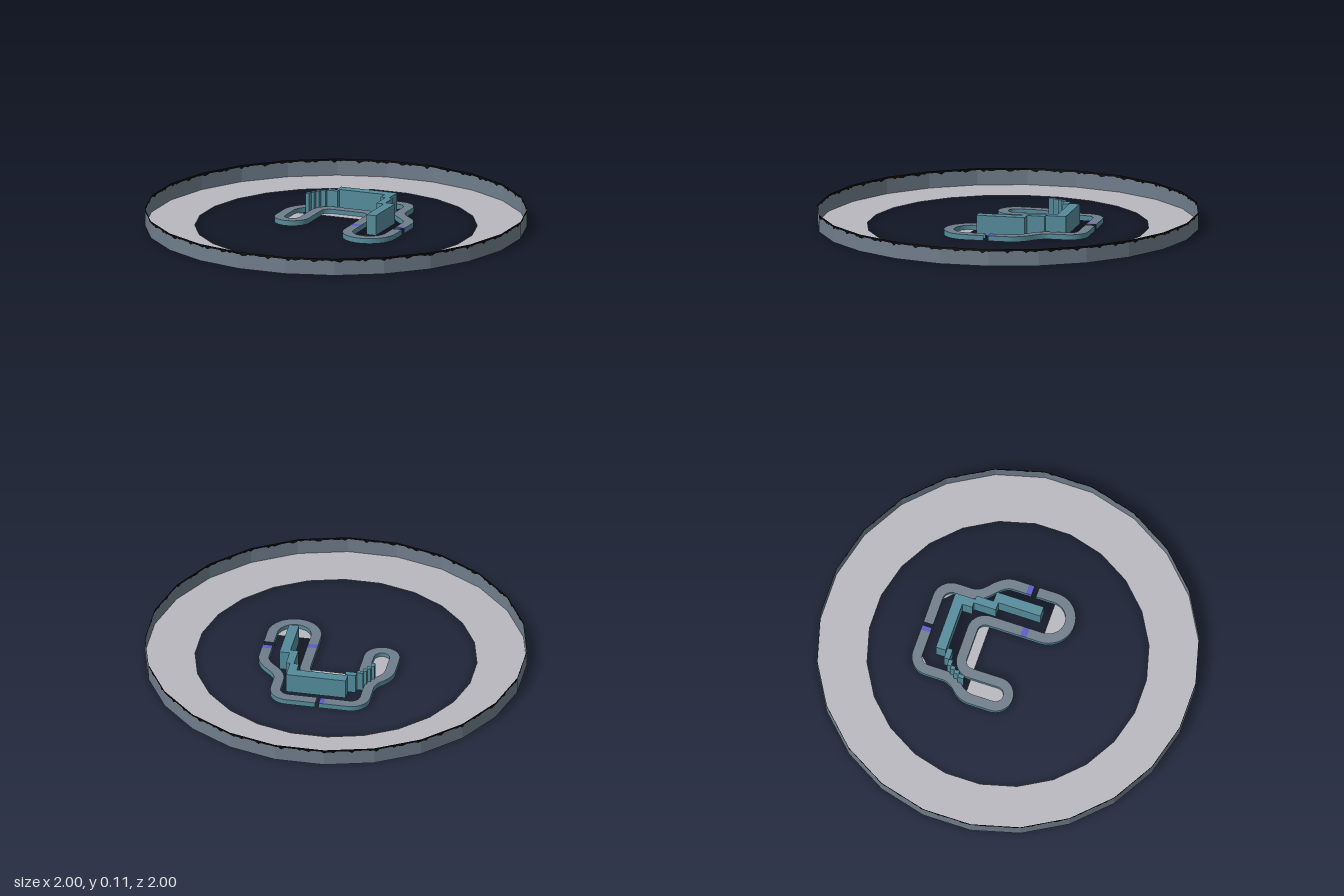
import * as THREE from 'three';

const mat = (name, color) => new THREE.MeshStandardMaterial({ name, color, side: THREE.DoubleSide });
const PI = Math.PI;

export function createModel() {
  const group = new THREE.Group();
  const slate = mat('slate', 0x6f7d8b);
  const paleGrey = mat('pale grey', 0xb9b8bf);
  const teal = mat('teal', 0x548b9b);
  const violet = mat('violet', 0x5a5ac8);
  const black = mat('black', 0x060607);

  const add = (name, geometry, material) => {
    const mesh = new THREE.Mesh(geometry, material);
    mesh.name = name;
    group.add(mesh);
    return mesh;
  };

  // Flat-shaded ribbon joining two rows of points
  const ribbon = (a, b) => {
    const pos = [];
    for (let i = 0; i < a.length - 1; i++) {
      for (const p of [a[i], a[i + 1], b[i], a[i + 1], b[i + 1], b[i]]) pos.push(p.x, p.y, p.z);
    }
    const g = new THREE.BufferGeometry();
    g.setAttribute('position', new THREE.Float32BufferAttribute(pos, 3));
    g.computeVertexNormals();
    return g;
  };

  // Outer rim: 24 flat sides, with a ragged dark edge dripping down from the top
  const SIDES = 24, STEPS = 16, RIM_H = 0.091, R = 1 / Math.cos(PI / SIDES);
  const corner = (i, r) => {
    const t = (i + 0.5) * 2 * PI / SIDES;
    return new THREE.Vector3(Math.sin(t) * r, 0, Math.cos(t) * r);
  };
  const low = [], mid = [], high = [];
  for (let i = 0; i < SIDES; i++) {
    for (let j = 0; j < STEPS; j++) {
      const p = corner(i, R).lerp(corner(i + 1, R), j / STEPS);
      const k = i * STEPS + j;
      const wave = Math.sin(k * 0.82) * 0.5 + Math.sin(k * 2.17 + i) * 0.5;
      const depth = 0.011 + 0.013 * Math.max(0, wave);
      low.push(p);
      mid.push(p.clone().setY(RIM_H - depth));
      high.push(p.clone().setY(RIM_H));
    }
  }
  for (const row of [low, mid, high]) row.push(row[0]);
  add('rimWall', ribbon(low, mid), slate);
  add('raggedEdge', ribbon(mid, high), black);

  // Flat ground ring inside the rim
  const inner = [], outer = [];
  for (let i = 0; i <= SIDES; i++) {
    inner.push(corner(i, 0.745));
    outer.push(corner(i, R));
  }
  add('groundRing', ribbon(outer, inner), paleGrey);

  // Track sections: a raised strip with a skirt down each edge
  const HALF = 0.027, TRACK_H = 0.028;
  const track = (name, path, material) => {
    const pts = path.getPoints(10).filter((p, i, all) => i === 0 || p.distanceTo(all[i - 1]) > 1e-4);
    const edge = (side, y) => pts.map((p, i) => {
      const d = pts[Math.min(i + 1, pts.length - 1)].clone().sub(pts[Math.max(i - 1, 0)]).normalize();
      return new THREE.Vector3(p.x + d.y * HALF * side, y, p.y - d.x * HALF * side);
    });
    add(name, ribbon(edge(1, TRACK_H), edge(-1, TRACK_H)), material);
    for (const side of [1, -1]) {
      add(name + (side > 0 ? 'OuterSkirt' : 'InnerSkirt'), ribbon(edge(side, 0), edge(side, TRACK_H)), teal);
    }
  };
  const start = (x, z) => new THREE.Path().moveTo(x, z);

  track('backRightTrack', start(0.018, -0.45)
    .lineTo(0.176, -0.45)
    .absarc(0.176, -0.375, 0.075, -PI / 2, 0, false)
    .lineTo(0.251, -0.29)
    .quadraticCurveTo(0.251, -0.24, 0.31, -0.19)
    .quadraticCurveTo(0.369, -0.14, 0.369, -0.09)
    .lineTo(0.369, -0.016), slate);
  track('wideLoopTrack', start(0.369, 0.04)
    .lineTo(0.369, 0.14)
    .absarc(0.252, 0.14, 0.117, 0, PI, false)
    .lineTo(0.135, 0.065), slate);
  track('innerTrack', start(0.135, 0.032)
    .lineTo(0.135, -0.15)
    .absarc(0.065, -0.15, 0.07, 0, -PI / 2, true)
    .lineTo(-0.105, -0.22)
    .absarc(-0.105, -0.15, 0.07, -PI / 2, -PI, true)
    .lineTo(-0.175, 0.013)
    .absarc(-0.2435, 0.013, 0.0685, 0, PI, false)
    .lineTo(-0.312, -0.1)
    .quadraticCurveTo(-0.312, -0.15, -0.271, -0.19)
    .quadraticCurveTo(-0.23, -0.23, -0.23, -0.28)
    .lineTo(-0.23, -0.375)
    .absarc(-0.155, -0.375, 0.075, PI, 1.5 * PI, false)
    .lineTo(-0.027, -0.45), slate);

  // Coloured marker tiles
  track('backMarker', start(-0.027, -0.45).lineTo(0, -0.45), violet);
  track('sideMarker', start(0.369, -0.016).lineTo(0.369, 0.015), violet);
  track('innerMarker', start(0.135, 0.065).lineTo(0.135, 0.032), violet);

  // Pale floors inside the loops and bends
  const floor = (name, shape) => {
    const g = new THREE.ShapeGeometry(shape, 12);
    g.rotateX(PI / 2).translate(0, 0.005, 0);
    add(name, g, paleGrey);
  };
  const shape = (x, z) => new THREE.Shape().moveTo(x, z);
  floor('narrowLoopFloor', shape(-0.286, -0.14).lineTo(-0.201, -0.14).lineTo(-0.201, 0.013)
    .absarc(-0.2435, 0.013, 0.0425, 0, PI, false));
  floor('wideLoopFloor', shape(0.342, 0.145).absarc(0.252, 0.145, 0.09, 0, PI, false));
  floor('middleFloor', shape(-0.148, -0.14).lineTo(-0.148, -0.15)
    .absarc(-0.105, -0.15, 0.043, PI, 1.5 * PI, false)
    .absarc(0.065, -0.15, 0.043, -PI / 2, 0, false)
    .lineTo(0.108, -0.14));
  floor('backLeftFloor', new THREE.Shape().absarc(-0.155, -0.375, 0.05, PI, 1.5 * PI, false));
  floor('backRightFloor', new THREE.Shape().absarc(0.176, -0.375, 0.05, -PI / 2, 0, false));

  // Stepped barrier: hollow blocks, open underneath, as [x0, x1, z0, z1]
  const WALL_H = 0.108;
  [
    [-0.123, 0.198, -0.36, -0.305],
    [0.15, 0.198, -0.305, -0.25],
    [0.177, 0.219, -0.25, -0.128],
    [0.219, 0.273, -0.155, 0.107],
    [-0.165, -0.107, -0.3, -0.27],
    [-0.198, -0.165, -0.272, -0.25],
    [-0.214, -0.193, -0.25, -0.225],
    [-0.23, -0.209, -0.225, -0.198],
    [-0.245, -0.225, -0.198, -0.165],
  ].forEach(([x0, x1, z0, z1], i) => {
    const g = new THREE.BoxGeometry(x1 - x0, WALL_H, z1 - z0);
    const index = Array.from(g.index.array);
    index.splice(18, 6);
    g.setIndex(index);
    g.clearGroups();
    g.translate((x0 + x1) / 2, WALL_H / 2, (z0 + z1) / 2);
    add('barrierBlock' + (i + 1), g, teal);
  });

  return group;
}
